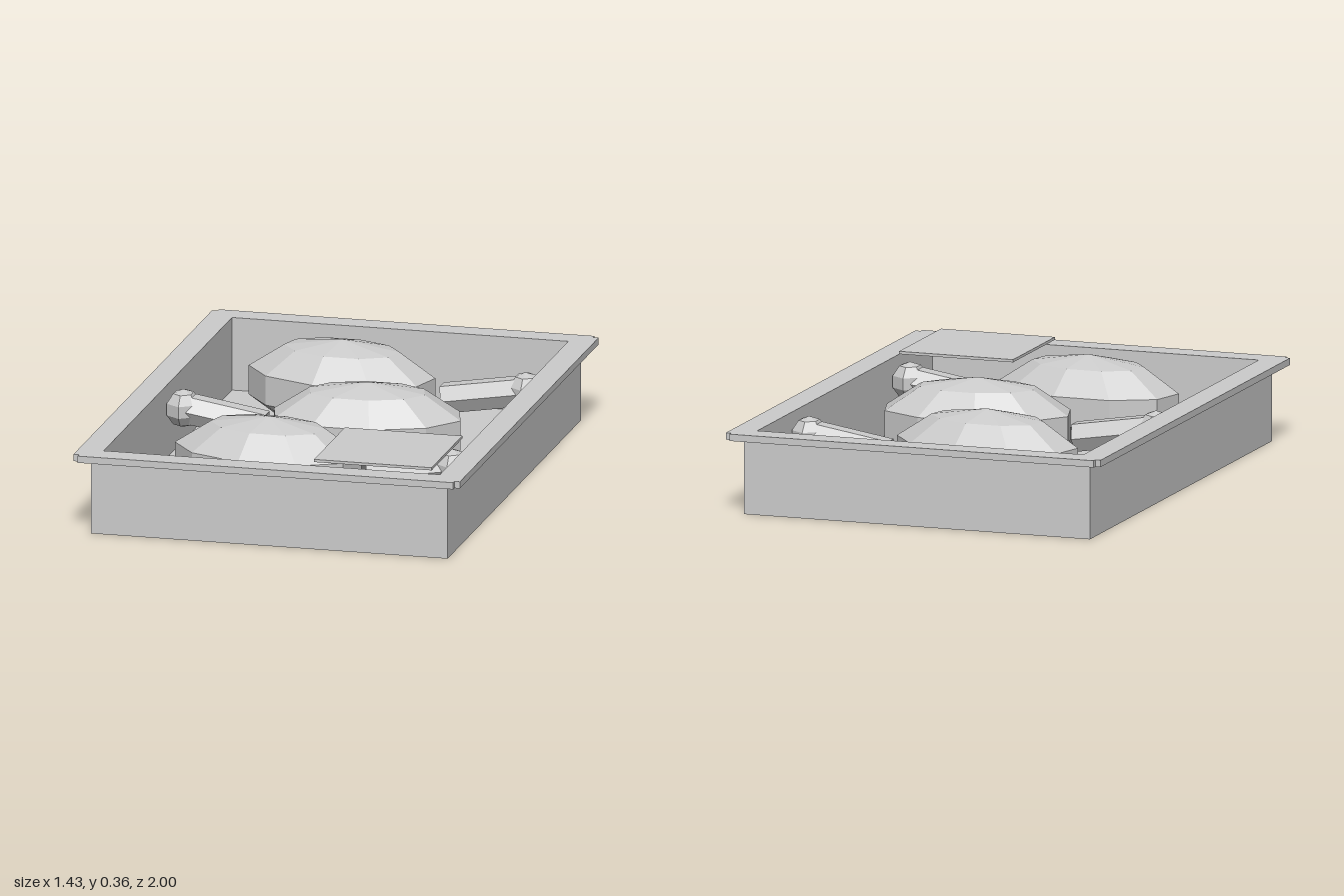
import * as THREE from 'three';

const grey = new THREE.MeshStandardMaterial({ color: 0xcccccc, flatShading: true });

function mesh(name, geometry, x = 0, y = 0, z = 0) {
  const m = new THREE.Mesh(geometry, grey);
  m.name = name;
  m.position.set(x, y, z);
  return m;
}

// Flat slab lying in the xz plane with an optional rectangular hole
function slab(points, height, hole) {
  const shape = new THREE.Shape(points.map(([x, z]) => new THREE.Vector2(x, z)));
  if (hole) shape.holes.push(new THREE.Path(hole.map(([x, z]) => new THREE.Vector2(x, z))));
  return new THREE.ExtrudeGeometry(shape, { depth: height, bevelEnabled: false }).rotateX(-Math.PI / 2);
}

const rect = (w, d) => [[-w, -d], [w, -d], [w, d], [-w, d]];

function createTray() {
  const tray = new THREE.Group();
  tray.name = 'tray';
  const opening = rect(0.622, 0.908);
  const floorHeight = 0.03;

  tray.add(mesh('trayFloor', new THREE.BoxGeometry(1.32, floorHeight, 1.89), 0, floorHeight / 2, 0));
  tray.add(mesh('trayWalls', slab(rect(0.66, 0.945), 0.275 - floorHeight, opening), 0, floorHeight, 0));

  // Rim with small square notches at its corners
  const X = 0.715, Z = 1, nx = 0.695, nz = 0.982;
  const outline = [
    [-nx, -Z], [nx, -Z], [nx, -nz], [X, -nz], [X, nz], [nx, nz],
    [nx, Z], [-nx, Z], [-nx, nz], [-X, nz], [-X, -nz], [-nx, -nz],
  ];
  tray.add(mesh('trayRim', slab(outline, 0.025, opening), 0, 0.275, 0));
  return tray;
}

// Drumstick with its bone pointing along dir (+1 or -1 in x)
function createDrumstick(dir, z) {
  const drumstick = new THREE.Group();
  drumstick.name = 'drumstick';

  // Meat: faceted ellipsoid, sheared sideways
  const meat = new THREE.SphereGeometry(1, 10, 5).scale(0.363, 0.175, 0.223);
  meat.applyMatrix4(new THREE.Matrix4().set(
    1, 0, 0.235 * dir, 0,
    0, 1, 0, 0,
    0, 0, 1, 0,
    0, 0, 0, 1));
  drumstick.add(mesh('meat', meat, -0.115 * dir, 0.185, z));

  // Bone shaft, rising slightly towards the knob
  const shaft = new THREE.CylinderGeometry(0.058, 0.058, 0.31, 6)
    .rotateZ(-Math.PI / 2)
    .rotateZ(0.16);
  if (dir < 0) shaft.rotateY(Math.PI);
  drumstick.add(mesh('boneShaft', shaft, 0.415 * dir, 0.193, z));

  // Knob at the end of the bone
  const knob = new THREE.SphereGeometry(1, 6, 5).rotateY(Math.PI / 2).scale(0.064, 0.07, 0.077);
  drumstick.add(mesh('boneKnob', knob, 0.565 * dir, 0.215, z));
  return drumstick;
}

export function createModel() {
  const model = new THREE.Group();
  model.name = 'drumstickTray';
  model.add(createTray());

  // Three drumsticks facing alternate ways
  [[1, -0.525], [-1, -0.003], [1, 0.52]].forEach(([dir, z]) => model.add(createDrumstick(dir, z)));

  // Blank label above the front corner
  model.add(mesh('label', new THREE.BoxGeometry(0.435, 0.01, 0.435), 0.377, 0.322, 0.703));
  return model;
}
